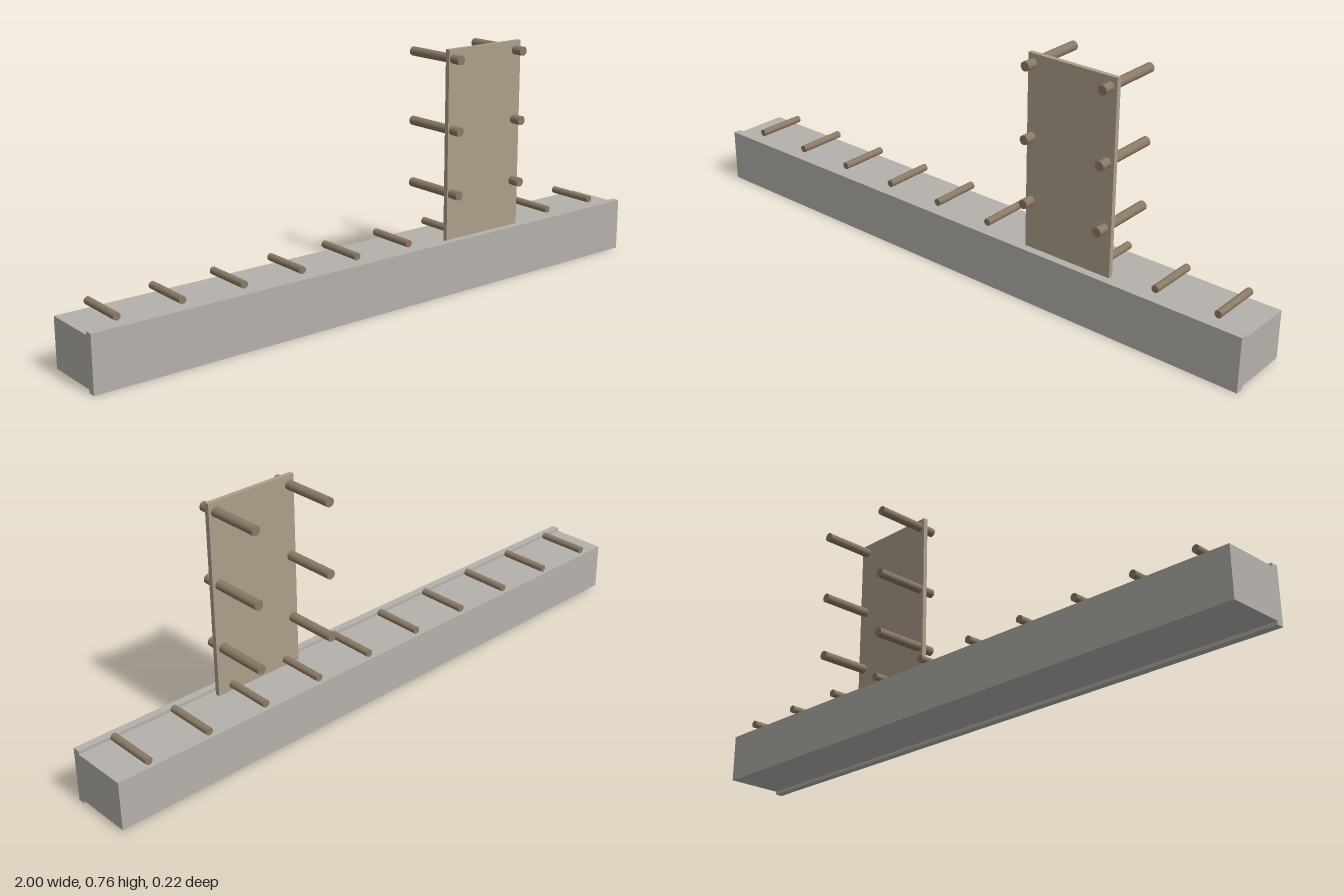
import * as THREE from 'three';

export function createModel() {
  const group = new THREE.Group();
  const mat = (name, color) => {
    const m = new THREE.MeshStandardMaterial({ color });
    m.name = name;
    return m;
  };
  const concrete = mat('pale stone grey', 0xb5b1ac);
  const board = mat('tan board', 0xac9e89);
  const timber = mat('brown timber', 0x8a7a65);

  const add = (name, geometry, material, x, y, z) => {
    const mesh = new THREE.Mesh(geometry, material);
    mesh.name = name;
    mesh.position.set(x, y, z);
    group.add(mesh);
  };
  // Box given by its lower and upper corners
  const box = (name, material, a, b) => {
    const size = a.map((v, i) => b[i] - v);
    add(name, new THREE.BoxGeometry(...size), material, ...a.map((v, i) => (v + b[i]) / 2));
  };
  // Round pole lying along z
  const poleGeometry = (radius, length) =>
    new THREE.CylinderGeometry(radius, radius, length, 16).rotateX(Math.PI / 2);

  // Long base block with a slightly taller facing
  box('baseBlock', concrete, [-1, 0.01, -0.091], [1, 0.16, 0.09]);
  box('frontFacing', concrete, [-1, 0, 0.089], [1, 0.17, 0.113]);

  // Upright board
  box('uprightBoard', board, [0.25, 0.16, 0.058], [0.55, 0.76, 0.073]);

  // Row of short poles above the base
  const shortPole = poleGeometry(0.0115, 0.16);
  for (let i = 0; i < 10; i++) add('roofPole', shortPole, timber, -0.9 + i * 0.2, 0.181, -0.011);

  // Pairs of longer poles passing through the board
  const longPole = poleGeometry(0.0145, 0.22);
  for (const y of [0.311, 0.511, 0.731])
    for (const x of [0.267, 0.527]) add('boardPole', longPole, timber, x, y, -0.001);

  return group;
}
